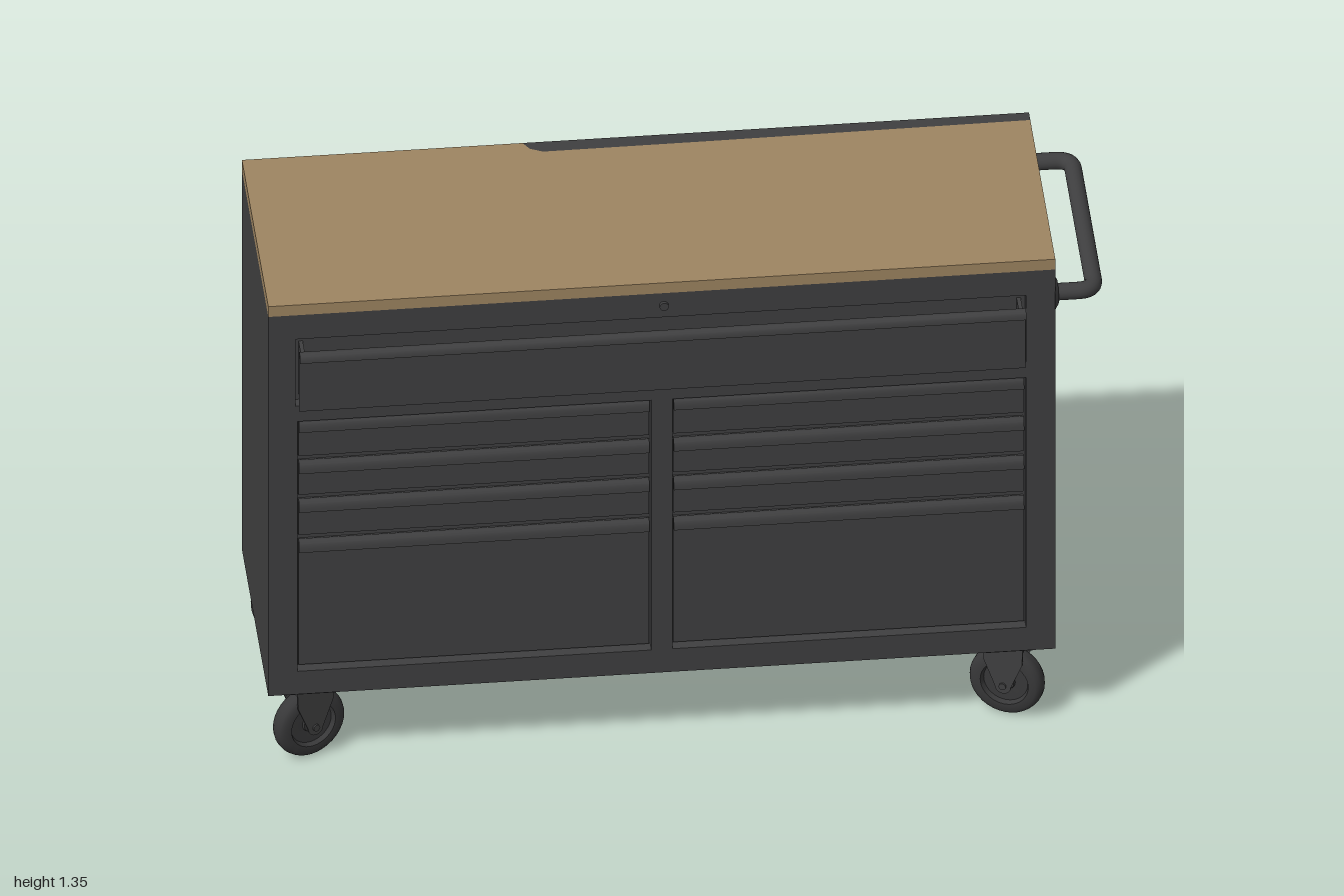
import * as THREE from 'three';
import { toCreasedNormals } from 'three/addons/utils/BufferGeometryUtils.js';

export function createModel() {
  const model = new THREE.Group();
  model.name = 'rollingToolChest';
  const mat = (name, color) => {
    const m = new THREE.MeshStandardMaterial({ color });
    m.name = name;
    return m;
  };
  const steel = mat('darkSteel', 0x3f3f40);
  const wood = mat('woodTop', 0x9e8561);
  const rubber = mat('wheelRubber', 0x383839);

  const add = (parent, name, geo, material, x = 0, y = 0, z = 0) => {
    const m = new THREE.Mesh(geo, material);
    m.name = name;
    m.position.set(x, y, z);
    parent.add(m);
    return m;
  };
  // Box given by its two extreme corners
  const block = (parent, name, material, x0, x1, y0, y1, z0, z1) =>
    add(parent, name, new THREE.BoxGeometry(x1 - x0, y1 - y0, z1 - z0), material,
      (x0 + x1) / 2, (y0 + y1) / 2, (z0 + z1) / 2);
  const polygon = pts => new THREE.Shape(pts.map(p => new THREE.Vector2(...p)));
  const rect = (x0, x1, y0, y1) => polygon([[x0, y0], [x1, y0], [x1, y1], [x0, y1]]);

  // Cabinet: solid carcass and a front frame with three openings
  const L = -1, R = 0.88, BACK = -0.33, FRONT = 0.275, INNER = 0.247;
  block(model, 'cabinet', steel, L, R, 0.215, 1.32, BACK, INNER);
  const columns = [[-0.93, -0.085], [-0.035, 0.81]];
  const frame = rect(L, R, 0.215, 1.32);
  frame.holes.push(rect(-0.935, 0.81, 1.055, 1.25));
  for (const [a, b] of columns) frame.holes.push(rect(a, b, 0.282, 1.01));
  add(model, 'frontFrame',
    new THREE.ExtrudeGeometry(frame, { depth: FRONT - INNER, bevelEnabled: false }), steel, 0, 0, INNER);

  // Curled pull running along the top edge of a drawer
  const pull = (parent, x0, x1, top, z, reach, drop) => {
    const s = new THREE.Shape();
    s.moveTo(0, -drop);
    s.lineTo(0, -0.008);
    s.quadraticCurveTo(0, 0, 0.008, 0);
    s.quadraticCurveTo(reach, 0, reach, -drop);
    s.lineTo(reach - 0.004, -drop);
    s.quadraticCurveTo(reach - 0.004, -0.004, 0.008, -0.004);
    s.quadraticCurveTo(0.004, -0.004, 0.004, -drop);
    const g = new THREE.ExtrudeGeometry(s, { depth: x1 - x0, bevelEnabled: false, curveSegments: 6 });
    g.rotateY(-Math.PI / 2);
    add(parent, 'drawerPull', toCreasedNormals(g, 0.6), steel, x1, top, z);
  };

  // Lower drawers, recessed in their openings
  const rows = [[0.895, 1.005], [0.782, 0.885], [0.665, 0.772], [0.287, 0.655]];
  for (const [a, b] of columns) {
    for (const [y0, y1] of rows) {
      const drawer = new THREE.Group();
      drawer.name = 'drawer';
      block(drawer, 'drawerFace', steel, a + 0.004, b - 0.004, y0, y1 - 0.004, INNER - 0.004, 0.255);
      pull(drawer, a + 0.004, b - 0.004, y1, 0.251, 0.022, 0.03);
      model.add(drawer);
    }
  }

  // Wide top drawer, slightly open
  const tray = new THREE.Group();
  tray.name = 'topDrawer';
  const t0 = -0.93, t1 = 0.805;
  block(tray, 'trayFace', steel, t0, t1, 1.065, 1.228, 0.302, 0.312);
  block(tray, 'trayFloor', steel, t0 + 0.01, t1 - 0.01, 1.075, 1.085, INNER - 0.01, 0.304);
  block(tray, 'traySide', steel, t0 + 0.005, t0 + 0.015, 1.075, 1.225, INNER - 0.01, 0.304);
  block(tray, 'traySide', steel, t1 - 0.015, t1 - 0.005, 1.075, 1.225, INNER - 0.01, 0.304);
  pull(tray, t0, t1, 1.241, 0.31, 0.023, 0.022);
  model.add(tray);

  // Lock
  const lock = new THREE.CylinderGeometry(0.011, 0.011, 0.012, 20).rotateX(Math.PI / 2);
  add(model, 'lock', lock, steel, -0.055, 1.285, FRONT + 0.002);

  // Worktop with a notch at the back, filled by a steel strip (outline in x, -z)
  const notch = [[-0.33, 0.33], [-0.315, 0.305], [-0.285, 0.29], [0.1, 0.292], [R, 0.299]];
  const slab = (name, pts, material) => {
    const g = new THREE.ExtrudeGeometry(polygon(pts), { depth: 0.03, bevelEnabled: false });
    add(model, name, g.rotateX(-Math.PI / 2), material, 0, 1.32, 0);
  };
  slab('worktop', [[L, -FRONT], [R, -FRONT], ...[...notch].reverse(), [L, 0.33]], wood);
  slab('rearStrip', [...notch, [R, 0.33]], steel);

  // Push handle on the side, with round mounting flanges
  const hy = 1.23, hx = 0.978, z0 = -0.295, z1 = 0.24, r = 0.04;
  const v = (x, z) => new THREE.Vector3(x, hy, z);
  const path = new THREE.CurvePath();
  path.add(new THREE.LineCurve3(v(R - 0.005, z0), v(hx - r, z0)));
  path.add(new THREE.QuadraticBezierCurve3(v(hx - r, z0), v(hx, z0), v(hx, z0 + r)));
  path.add(new THREE.LineCurve3(v(hx, z0 + r), v(hx, z1 - r)));
  path.add(new THREE.QuadraticBezierCurve3(v(hx, z1 - r), v(hx, z1), v(hx - r, z1)));
  path.add(new THREE.LineCurve3(v(hx - r, z1), v(R - 0.005, z1)));
  add(model, 'pushHandle', new THREE.TubeGeometry(path, 120, 0.021, 16), steel);
  for (const z of [z0 + 0.002, z1]) {
    const g = new THREE.CylinderGeometry(0.03, 0.045, 0.01, 28).rotateZ(-Math.PI / 2);
    add(model, 'handleFlange', g, steel, R + 0.004, hy, z);
  }

  // Swivel casters
  const profile = [[0, 0.016], [0.022, 0.018], [0.024, 0.012], [0.055, 0.012], [0.06, 0.024], [0.078, 0.024],
    [0.088, 0.017], [0.092, 0.006]];
  const wheelPts = [...profile.map(([a, b]) => [a, -b]), ...[...profile].reverse()]
    .map(p => new THREE.Vector2(...p));
  const wheelGeo = toCreasedNormals(new THREE.LatheGeometry(wheelPts, 36).rotateX(Math.PI / 2), 0.65);
  const cheek = new THREE.Shape();
  cheek.moveTo(-0.05, 0.206);
  cheek.lineTo(-0.048, 0.16);
  cheek.lineTo(-0.02, 0.09);
  cheek.absarc(0, 0.09, 0.02, Math.PI, Math.PI * 2, false);
  cheek.lineTo(0.048, 0.16);
  cheek.lineTo(0.05, 0.206);
  const cheekGeo = new THREE.ExtrudeGeometry(cheek, { depth: 0.005, bevelEnabled: false, curveSegments: 10 });
  for (const x of [-0.897, 0.772]) {
    for (const z of [-0.255, 0.21]) {
      const caster = new THREE.Group();
      caster.name = 'caster';
      caster.position.set(x, 0, z);
      block(model, 'casterPlate', steel, x - 0.06, x + 0.06, 0.207, 0.216, z - 0.055, z + 0.055);
      block(caster, 'forkCrown', steel, -0.05, 0.05, 0.196, 0.208, -0.035, 0.035);
      add(caster, 'wheel', wheelGeo, rubber, 0, 0.092, 0);
      for (const s of [-0.035, 0.03]) add(caster, 'forkCheek', cheekGeo, steel, 0, 0, s);
      const axle = new THREE.CylinderGeometry(0.009, 0.009, 0.08, 12).rotateX(Math.PI / 2);
      add(caster, 'axle', axle, steel, 0, 0.092, 0);
      caster.rotation.y = -Math.sign(x * z) * 0.42;
      model.add(caster);
    }
  }
  return model;
}
